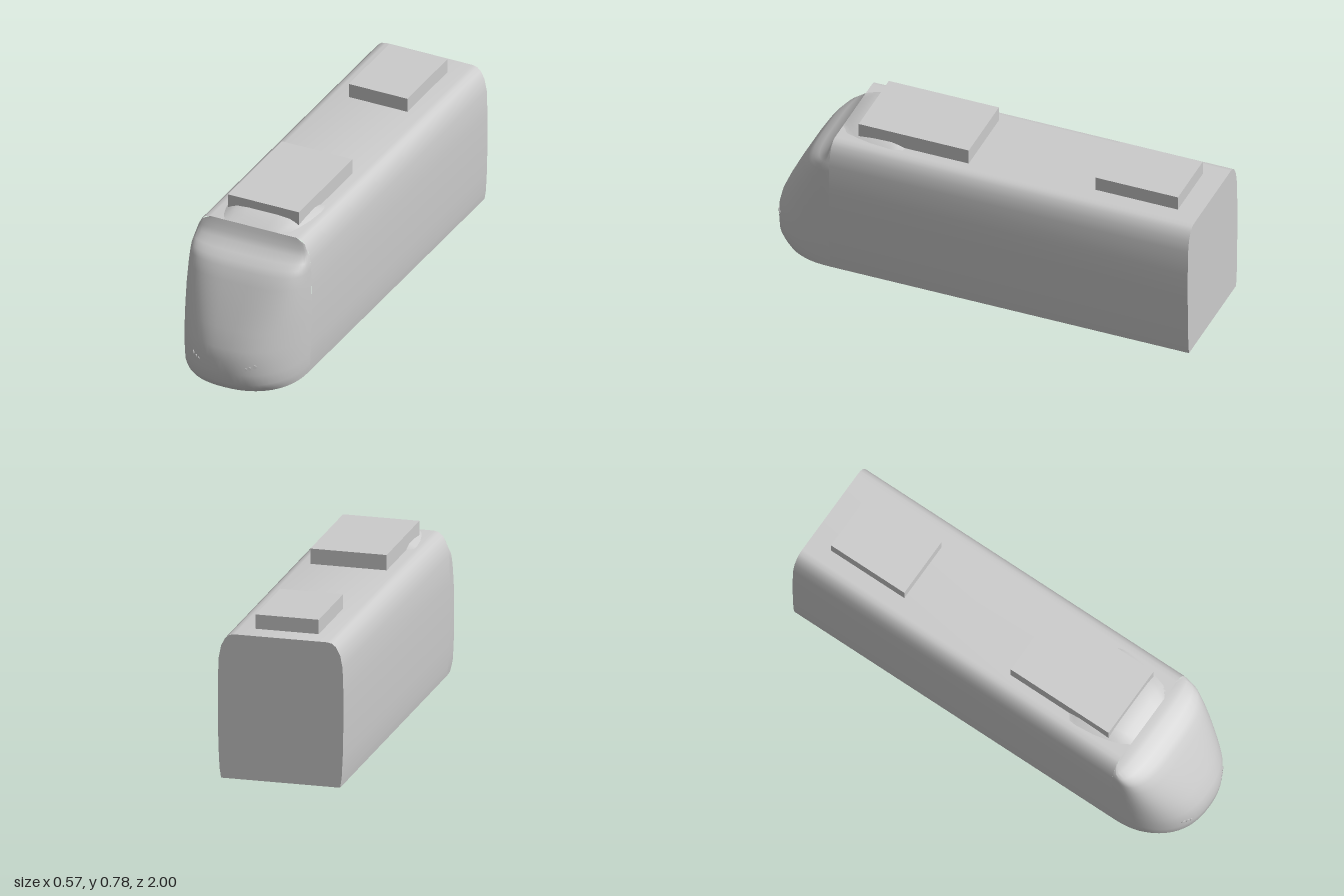
import * as THREE from 'three';
import { toCreasedNormals } from 'three/addons/utils/BufferGeometryUtils.js';

const NOSE_START = 0.68;

// Half cross-section of the car body: [half width, height], bottom to top
const SECTION = [
  [0.268, 0.055], [0.275, 0.1], [0.28, 0.2], [0.283, 0.35], [0.283, 0.48], [0.279, 0.6],
  [0.268, 0.655], [0.25, 0.69], [0.232, 0.705], [0.21, 0.71],
];
// Centre profile of the nose: [height, z]
const PROFILE = [
  [0.055, 0.962], [0.075, 0.982], [0.1, 0.997], [0.15, 1], [0.21, 0.998], [0.26, 0.985],
  [0.34, 0.95], [0.43, 0.905], [0.52, 0.857], [0.57, 0.827], [0.595, 0.803],
  [0.615, 0.765], [0.64, 0.718], [0.665, 0.7], [0.69, 0.688], [0.71, NOSE_START],
];

// Piecewise linear lookup in [key, value] pairs
function lookup(pairs, key) {
  for (let i = 1; i < pairs.length; i++) {
    const [k0, v0] = pairs[i - 1], [k1, v1] = pairs[i];
    if (key <= k1) return v0 + (v1 - v0) * (key - k0) / (k1 - k0);
  }
  return pairs[pairs.length - 1][1];
}
const widthAt = y => lookup(SECTION.map(([w, h]) => [h, w]), y);
const power = y => 2.3 + 0.9 * THREE.MathUtils.smoothstep(y, 0.2, 0.65);

// Surface from rows of points; outward is column direction x row direction
function loft(rows, crease = 0.7) {
  const n = rows[0].length, index = [];
  for (let i = 0; i < rows.length - 1; i++) {
    for (let j = 0; j < n - 1; j++) {
      const a = i * n + j, b = a + n;
      index.push(a, a + 1, b, a + 1, b + 1, b);
    }
  }
  const geometry = new THREE.BufferGeometry();
  geometry.setAttribute('position', new THREE.Float32BufferAttribute(rows.flat(2), 3));
  geometry.setIndex(index);
  geometry.computeVertexNormals();
  return toCreasedNormals(geometry, crease);
}

// Horizontal nose outline at height y, from -x round to +x
function noseRow(y) {
  const w = widthAt(y), depth = lookup(PROFILE, y) - NOSE_START, e = 2 / power(y), row = [];
  for (let j = 0; j <= 32; j++) {
    const t = (j / 32 - 0.5) * Math.PI, s = Math.sin(t);
    row.push([w * Math.sign(s) * Math.abs(s) ** e, y,
      NOSE_START + depth * Math.max(0, Math.cos(t)) ** e]);
  }
  return row;
}
function noseZ(x, y) {
  const p = power(y);
  return NOSE_START + (lookup(PROFILE, y) - NOSE_START) * (1 - (Math.abs(x) / widthAt(y)) ** p) ** (1 / p);
}

export function createModel() {
  const group = new THREE.Group();
  const grey = new THREE.MeshStandardMaterial({ color: 0xcccccc });
  grey.name = 'light grey';
  const add = (name, geometry, x = 0, y = 0, z = 0) => {
    const mesh = new THREE.Mesh(geometry, grey);
    mesh.name = name;
    mesh.position.set(x, y, z);
    group.add(mesh);
    return mesh;
  };

  // Sides and roof
  const outline = [
    ...SECTION.map(([w, y]) => [-w, y]),
    ...SECTION.slice().reverse(),
  ];
  add('bodyShell', loft(outline.map(([x, y]) => [[x, y, -1], [x, y, NOSE_START]])));

  // Flat rear wall
  const rear = new THREE.Shape(outline.map(([x, y]) => new THREE.Vector2(x, y)));
  add('rearWall', new THREE.ShapeGeometry(rear).rotateY(Math.PI), 0, 0, -1);

  // Rounded cab nose
  add('nose', loft(PROFILE.map(([y]) => noseRow(y))));

  // Floor under body and nose
  const floor = new THREE.Shape([
    new THREE.Vector2(-0.268, -1),
    ...noseRow(0.055).map(([x, , z]) => new THREE.Vector2(x, z)),
    new THREE.Vector2(0.268, -1),
  ]);
  add('floor', new THREE.ShapeGeometry(floor).rotateX(Math.PI / 2), 0, 0.055, 0);

  // Low roof fairing: stations [z, half width, height]
  const stations = [
    [0.37, 0.19, 0], [0.4, 0.2, 0.018], [0.43, 0.203, 0.03], [0.52, 0.195, 0.031],
    [0.59, 0.18, 0.03], [0.64, 0.165, 0.018], [0.68, 0.14, 0],
  ];
  const arch = [[-1, 0], [-0.85, 0.5], [-0.7, 0.85], [-0.4, 1], [0.4, 1], [0.7, 0.85], [0.85, 0.5], [1, 0]];
  add('roofFairing', loft(arch.map(([u, v]) =>
    stations.map(([z, w, h]) => [u * w, 0.71 + v * h, z]))));

  // Roof equipment boxes
  add('frontRoofUnit', new THREE.BoxGeometry(0.344, 0.075, 0.515), 0, 0.742, 0.328);
  add('rearRoofUnit', new THREE.BoxGeometry(0.284, 0.07, 0.386), 0, 0.74, -0.703);

  for (const side of [-1, 1]) {
    // Wheels sunk into the floor
    for (const z of [0, -0.385]) {
      const wheel = new THREE.CylinderGeometry(0.06, 0.06, 0.021, 10).rotateZ(Math.PI / 2);
      add('wheel', wheel, side * 0.161, 0.06, z);
    }
    // Small hexagonal headlights, turned to follow the nose
    for (const [x, y, r] of [[0.149, 0.193, 0.01], [0.13, 0.185, 0.008], [0.115, 0.18, 0.007]]) {
      const lamp = add('headlight', new THREE.CylinderGeometry(r, r, 0.006, 6).rotateX(Math.PI / 2),
        side * x, y, noseZ(x, y));
      lamp.rotation.y = side * Math.atan((noseZ(x - 0.01, y) - noseZ(x + 0.01, y)) / 0.02);
    }
  }
  return group;
}
